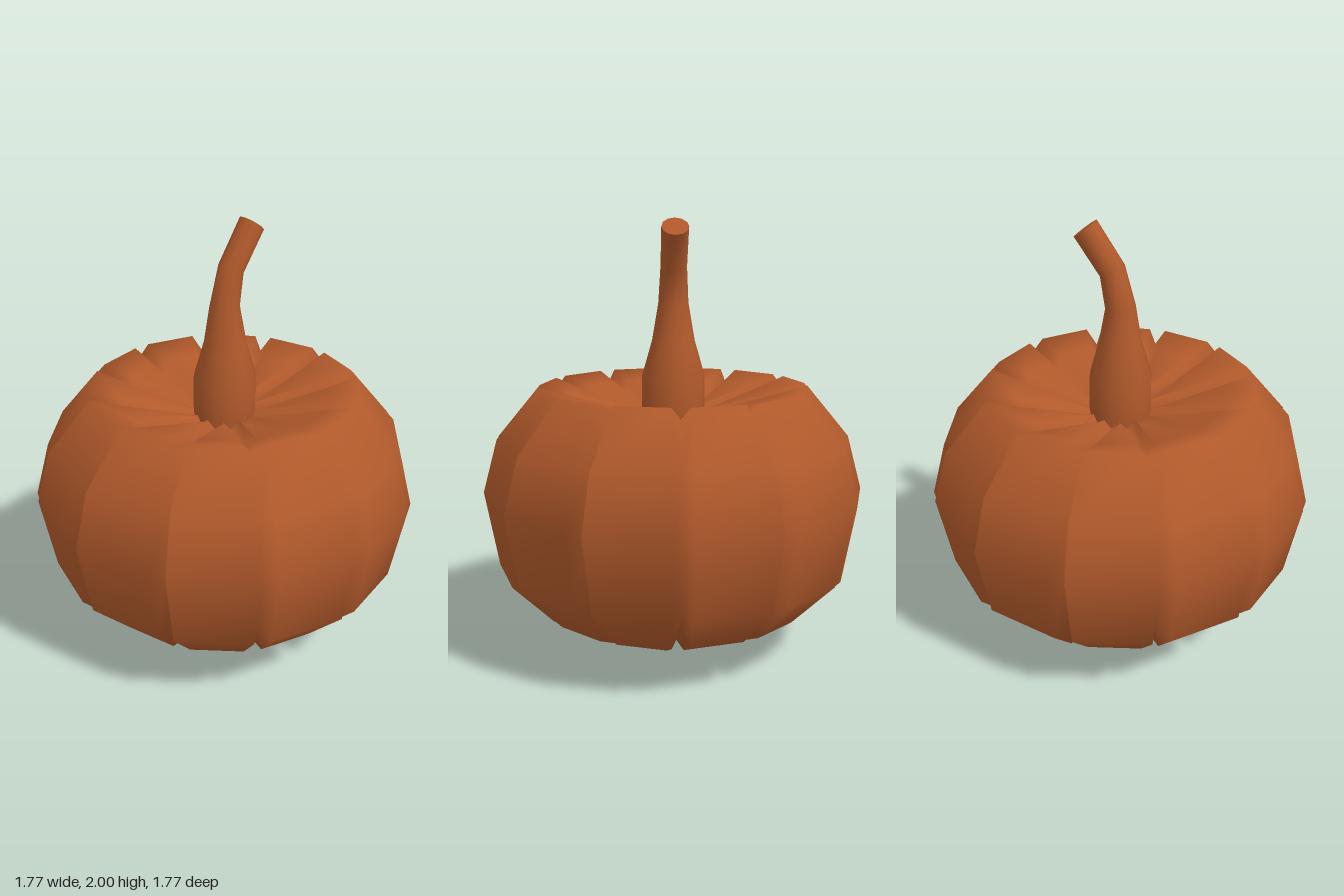
import * as THREE from 'three';

const LOBES = 12;

// Skin a stack of closed rings (bottom to top, each an array of Vector3)
function skin(rings) {
  const n = rings[0].length, index = [];
  for (let i = 0; i < rings.length - 1; i++) {
    for (let j = 0; j < n; j++) {
      const a = i * n + j, b = i * n + (j + 1) % n;
      index.push(a, b, b + n, a, b + n, a + n);
    }
  }
  const g = new THREE.BufferGeometry().setFromPoints(rings.flat());
  g.setIndex(index);
  g.computeVertexNormals();
  return g;
}

// Rows: lobe radius, lobe height, groove radius, groove height
const profile = [
  [0.01, 0.05, 0.01, 0.05],
  [0.165, 0.0, 0.125, 0.05],
  [0.62, 0.2, 0.55, 0.25],
  [0.82, 0.4, 0.72, 0.43],
  [0.885, 0.75, 0.78, 0.75],
  [0.818, 1.0, 0.72, 0.98],
  [0.62, 1.24, 0.56, 1.18],
  [0.48, 1.2, 0.45, 1.14],
  [0.165, 1.12, 0.15, 1.08],
  [0.01, 1.1, 0.01, 1.08],
];

// Each lobe has one groove line and two corners, set 0.04 off the groove
function bodyRings(grooved) {
  return profile.map(([r, y, gr, gy]) => {
    const step = Math.PI * 2 / LOBES;
    const gap = Math.min(Math.asin(Math.min(0.04 / r, 1)), step * 0.48);
    const ring = [];
    const add = (radius, angle, h) =>
      ring.push(new THREE.Vector3(radius * Math.sin(angle), h, radius * Math.cos(angle)));
    for (let k = 0; k < LOBES; k++) {
      add(grooved ? gr : r, k * step, gy);
      add(r, k * step + gap, y);
      add(r, (k + 1) * step - gap, y);
    }
    return ring;
  });
}

// Stem rows: height, z, radius, backward tilt
const stemRows = [
  [1.06, 0, 0.135, 0],
  [1.13, 0, 0.145, 0],
  [1.29, 0, 0.144, 0],
  [1.45, -0.002, 0.098, 0],
  [1.62, 0, 0.069, 0.05],
  [1.785, -0.037, 0.06, 0.44],
  [1.9625, -0.158, 0.061, 0.66],
];

function stemRing([y, z, r, tilt]) {
  return Array.from({ length: 12 }, (_, j) => {
    const a = j * Math.PI / 6;
    return new THREE.Vector3(r * Math.sin(a), 0, r * Math.cos(a))
      .applyAxisAngle(new THREE.Vector3(1, 0, 0), -tilt)
      .add(new THREE.Vector3(0, y, z));
  });
}

export function createModel() {
  const group = new THREE.Group();
  const material = new THREE.MeshStandardMaterial({ color: 0xb0592b, side: THREE.DoubleSide });
  const add = (name, geometry) => {
    const mesh = new THREE.Mesh(geometry, material);
    mesh.name = name;
    group.add(mesh);
    return mesh;
  };

  // Ribbed body, shaded softly across the grooves
  const body = skin(bodyRings(true));
  body.setAttribute('normal', skin(bodyRings(false)).getAttribute('normal'));
  add('body', body);

  // Curved stem with a flat cut end
  add('stem', skin(stemRows.map(stemRing)));
  const [y, z, r, tilt] = stemRows[stemRows.length - 1];
  const cut = add('stemCut', new THREE.CircleGeometry(r, 12));
  cut.position.set(0, y, z);
  cut.rotation.x = -Math.PI / 2 - tilt;

  return group;
}
